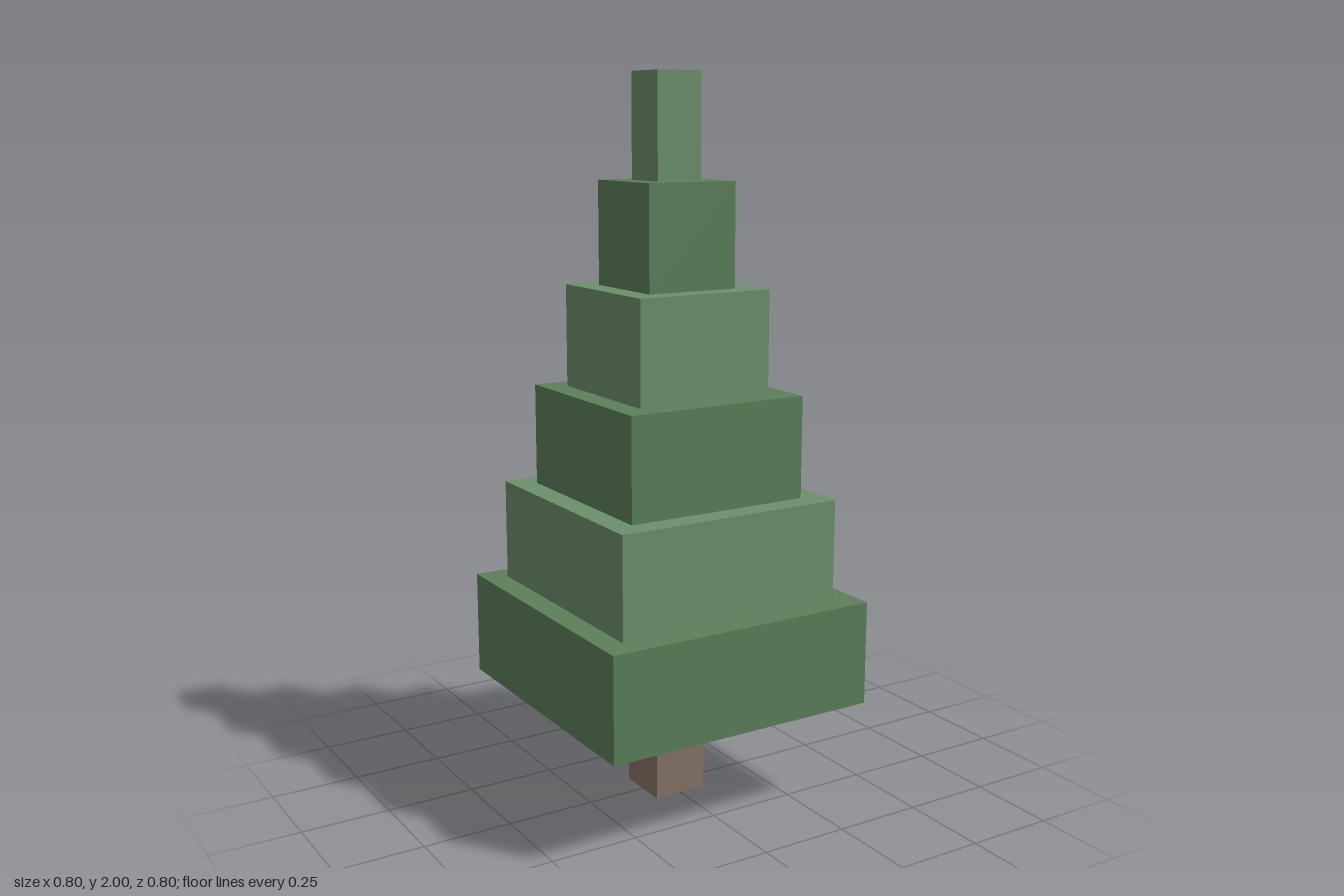
import * as THREE from 'three';

const TIERS = 6;
const TIER_HEIGHT = 0.291;
const TIER_STEP = 0.2824; // each tier sinks slightly into the one below
const TIER_BASE = 0.297;
const WIDTH_STEP = 0.1327;
const TRUNK_WIDTH = 0.157;

export function createModel() {
  const tree = new THREE.Group();
  tree.name = 'tree';

  const bark = new THREE.MeshStandardMaterial({ color: 0x877467 });
  const darkLeaves = new THREE.MeshStandardMaterial({ color: 0x5c7f5a });
  const lightLeaves = new THREE.MeshStandardMaterial({ color: 0x6c906b });

  // Square block standing on height y
  function addBlock(name, width, height, y, material) {
    const mesh = new THREE.Mesh(new THREE.BoxGeometry(width, height, width), material);
    mesh.name = name;
    mesh.position.y = y + height / 2;
    tree.add(mesh);
  }

  // Trunk
  addBlock('trunk', TRUNK_WIDTH, TIER_BASE, 0, bark);

  // Foliage tiers, shrinking upward with alternating greens
  for (let i = 0; i < TIERS; i++) {
    const width = WIDTH_STEP * (TIERS - i);
    const y = TIER_BASE + i * TIER_STEP;
    addBlock(`foliageTier${i + 1}`, width, TIER_HEIGHT, y, i % 2 ? lightLeaves : darkLeaves);
  }

  return tree;
}
